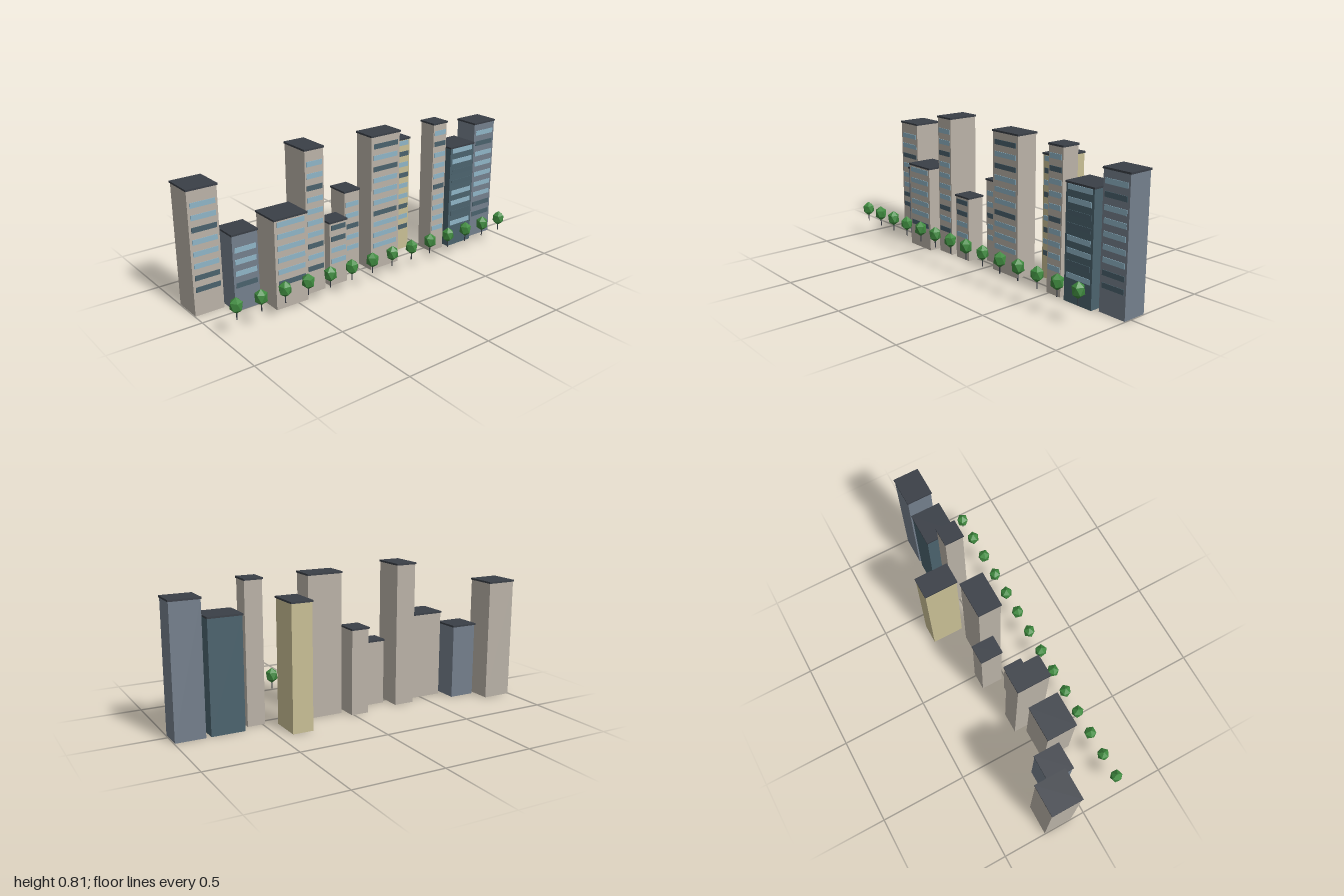
import * as THREE from 'three';

const mat = (name, color, flatShading = false) => {
  const m = new THREE.MeshStandardMaterial({ color, flatShading });
  m.name = name;
  return m;
};

export function createModel() {
  const stone = mat('stone', 0xbab2a7);
  const slate = mat('slate', 0x747f8c);
  const teal = mat('teal', 0x4b636e);
  const sand = mat('sand', 0xc9bf95);
  const roofMat = mat('roof charcoal', 0x3a3f47);
  const lightGlass = mat('light glass', 0x8fb4c6);
  const darkGlass = mat('dark glass', 0x4a626d);
  const leaf = mat('leaf green', 0x3f8a3f, true);

  const city = new THREE.Group();
  city.name = 'cityBlock';
  const box = (parent, name, material, w, h, d, x, y, z) => {
    const mesh = new THREE.Mesh(new THREE.BoxGeometry(w, h, d), material);
    mesh.name = name;
    mesh.position.set(x, y, z);
    parent.add(mesh);
  };

  // Each tower: roof bounds x0, x1, z0, z1, height, wall, window rows from the ground up
  const towers = [
    [-1.0, -0.826, -0.251, -0.075, 0.684, stone, 'DDLLLDLL'],
    [-0.814, -0.658, -0.147, 0.007, 0.428, slate, 'DLLL'],
    [-0.637, -0.434, -0.053, 0.123, 0.501, stone, 'DLLLLL'],
    [-0.413, -0.289, -0.114, 0.074, 0.809, stone, 'DLDLLLLDLL'],
    [-0.26, -0.139, -0.04, 0.069, 0.375, stone, 'LLDD'],
    [-0.094, 0.016, -0.152, -0.02, 0.485, stone, 'LLDLL'],
    [0.04, 0.247, -0.089, 0.047, 0.791, stone, 'LLLDLLLDLD'],
    [0.304, 0.428, -0.268, -0.075, 0.691, sand, 'DLDLLDLDL'],
    [0.481, 0.588, -0.051, 0.061, 0.788, stone, 'LLLLDLLLDL'],
    [0.614, 0.808, -0.103, 0.07, 0.624, teal, 'LDLLDDLL'],
    [0.828, 1.0, -0.104, 0.044, 0.727, slate, 'DDLLLLLDL'],
  ];
  const slab = 0.01, overhang = 0.004;
  for (const [x0, x1, z0, z1, h, wall, rows] of towers) {
    const tower = new THREE.Group();
    tower.name = 'tower';
    tower.position.set((x0 + x1) / 2, 0, (z0 + z1) / 2);
    const w = x1 - x0 - 2 * overhang, d = z1 - z0 - 2 * overhang;
    box(tower, 'walls', wall, w, h - slab, d, 0, (h - slab) / 2, 0);
    box(tower, 'roofSlab', roofMat, x1 - x0, slab, z1 - z0, 0, h - slab / 2, 0);
    // Window bands on the street side
    [...rows].forEach((kind, i) => {
      const glass = kind === 'L' ? lightGlass : darkGlass;
      box(tower, 'windowBand', glass, w * 0.84, 0.028, 0.004, 0, 0.144 + 0.0648 * i, d / 2 + 0.001);
    });
    city.add(tower);
  }

  // Row of street trees: icosahedral crown standing on one corner
  const crownGeo = new THREE.IcosahedronGeometry(1, 0);
  crownGeo.rotateZ(Math.atan2(1, (1 + Math.sqrt(5)) / 2));
  crownGeo.scale(0.0365, 0.044, 0.0365);
  const trunkGeo = new THREE.CylinderGeometry(0.003, 0.003, 0.05, 6);
  for (let i = 0; i < 14; i++) {
    const tree = new THREE.Group();
    tree.name = 'tree';
    tree.position.set(-0.93 + 0.1387 * i, 0, 0.233);
    tree.rotation.y = i * 1.7;
    const trunk = new THREE.Mesh(trunkGeo, roofMat);
    trunk.name = 'trunk';
    trunk.position.y = 0.122;
    const crown = new THREE.Mesh(crownGeo, leaf);
    crown.name = 'crown';
    crown.position.y = 0.174;
    tree.add(trunk, crown);
    city.add(tree);
  }
  return city;
}
